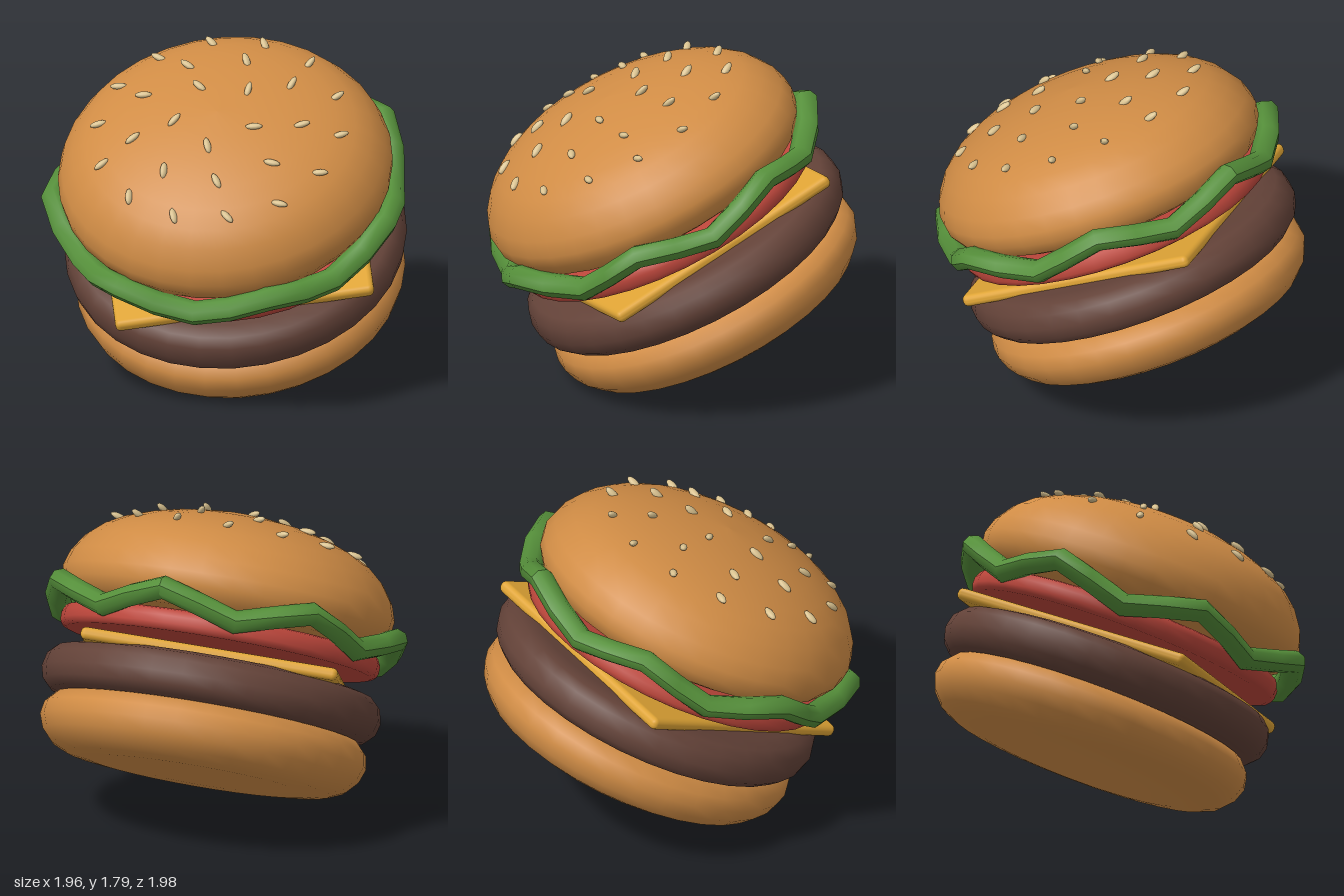
import * as THREE from 'three';
import { RoundedBoxGeometry } from 'three/addons/geometries/RoundedBoxGeometry.js';

const material = (name, color) => {
  const m = new THREE.MeshStandardMaterial({ color });
  m.name = name;
  return m;
};

export function createModel() {
  const bun = material('toasted bun', 0xd08c45);
  const meat = material('grilled meat', 0x634238);
  const cheddar = material('cheese yellow', 0xdfa435);
  const leaf = material('lettuce green', 0x558f3a);
  const red = material('tomato red', 0xbc463b);
  const sesame = material('sesame', 0xd9c290);

  const model = new THREE.Group();
  model.name = 'burger';

  // The whole stack leans towards the front
  const lean = new THREE.Group();
  lean.name = 'leaningStack';
  lean.rotation.x = 0.45;
  model.add(lean);
  const stack = new THREE.Group();
  stack.name = 'stack';
  stack.position.z = -0.37;
  lean.add(stack);

  const add = (name, geometry, mat) => {
    const mesh = new THREE.Mesh(geometry, mat);
    mesh.name = name;
    stack.add(mesh);
    return mesh;
  };

  // Round layers, as [radius, height] profiles from bottom to top
  const round = (name, profile, mat) =>
    add(name, new THREE.LatheGeometry(profile.map(([r, y]) => new THREE.Vector2(r, y)), 32), mat);

  round('bottomBun', [[0, 0.165], [0.4, 0.165], [0.6, 0.17], [0.72, 0.185], [0.8, 0.22], [0.86, 0.285],
    [0.887, 0.36], [0.875, 0.43], [0.82, 0.49], [0.7, 0.515], [0, 0.52]], bun);
  round('patty', [[0, 0.485], [0.78, 0.485], [0.86, 0.505], [0.905, 0.55], [0.922, 0.615],
    [0.905, 0.69], [0.86, 0.735], [0.78, 0.755], [0, 0.755]], meat);
  round('tomato', [[0, 0.845], [0.83, 0.845], [0.855, 0.855], [0.866, 0.88], [0.866, 0.92],
    [0.85, 0.955], [0.82, 0.965], [0, 0.965]], red);
  const topBun = round('topBun', [[0, 0.98], [0.6, 0.98], [0.77, 0.995], [0.85, 1.03], [0.893, 1.1], [0.902, 1.17],
    [0.875, 1.255], [0.81, 1.35], [0.73, 1.42], [0.63, 1.475], [0.51, 1.52], [0.36, 1.56], [0.18, 1.588], [0, 1.597]], bun);

  // Square cheese slice, turned so its corners poke out
  const cheese = add('cheese', new RoundedBoxGeometry(1.4, 0.068, 1.4, 2, 0.03), cheddar);
  cheese.position.y = 0.769;
  cheese.rotation.y = 0.31;

  // Lettuce ring: a torus whose rings rise and spread in seven waves
  const ring = new THREE.TorusGeometry(1, 0.1, 8, 28);
  ring.rotateX(-Math.PI / 2);
  ring.rotateY(Math.PI / 2);
  const p = ring.attributes.position;
  for (let i = 0; i < p.count; i++) {
    const x = p.getX(i), y = p.getY(i), z = p.getZ(i);
    const angle = Math.atan2(x, z);
    const wave = -Math.cos(7 * angle);
    const r = 0.905 + 0.03 * wave + (Math.hypot(x, z) - 1) * 0.68;
    p.setXYZ(i, Math.sin(angle) * r, 1.0 + 0.06 * wave + y * 0.64, Math.cos(angle) * r);
  }
  ring.computeVertexNormals();
  add('lettuce', ring, leaf);

  // Sesame seeds: x, z and heading in degrees, dropped onto the top bun
  const seeds = [
    [-0.18, -0.26, 30], [0.11, -0.27, 50], [0.38, -0.17, -50], [-0.44, -0.13, 15], [0.06, -0.06, 55],
    [-0.25, 0, 20], [-0.61, 0.08, -5], [0.34, 0.07, -60], [0.58, 0.03, -30], [-0.44, 0.22, -5],
    [-0.14, 0.19, 25], [0.13, 0.19, -80], [0.66, 0.28, -15], [-0.66, 0.34, -15], [0.46, 0.33, -15],
    [0.22, 0.43, -5], [-0.22, 0.43, -45], [-0.43, 0.51, -35], [-0.58, 0.6, -35], [0, 0.58, 60],
    [0.61, 0.54, -5], [0.36, 0.6, 5], [-0.21, 0.71, 85], [0.09, 0.75, 45], [0.44, 0.76, 5],
    [-0.38, 0.8, 80], [-0.11, 0.9, 60], [0.18, 0.88, 30],
  ];
  const seedShape = new THREE.SphereGeometry(1, 10, 8).scale(0.047, 0.017, 0.021);
  const seedGroup = new THREE.Group();
  seedGroup.name = 'sesameSeeds';
  model.add(seedGroup);
  model.updateMatrixWorld(true);
  const ray = new THREE.Raycaster();
  const down = new THREE.Vector3(0, -1, 0);
  const along = new THREE.Vector3(1, 0, 0);
  for (const [x, z, degrees] of seeds) {
    ray.set(new THREE.Vector3(x, 3, z), down);
    const hit = ray.intersectObject(topBun)[0];
    if (!hit) continue;
    const a = THREE.MathUtils.degToRad(degrees);
    const heading = new THREE.Vector3(Math.cos(a), -1.1 * Math.sin(a), Math.sin(a)).normalize();
    const seed = new THREE.Mesh(seedShape, sesame);
    seed.name = 'sesameSeed';
    seed.position.set(x, hit.point.y + 0.01, z);
    seed.quaternion.setFromUnitVectors(along, heading);
    seedGroup.add(seed);
  }

  return model;
}
